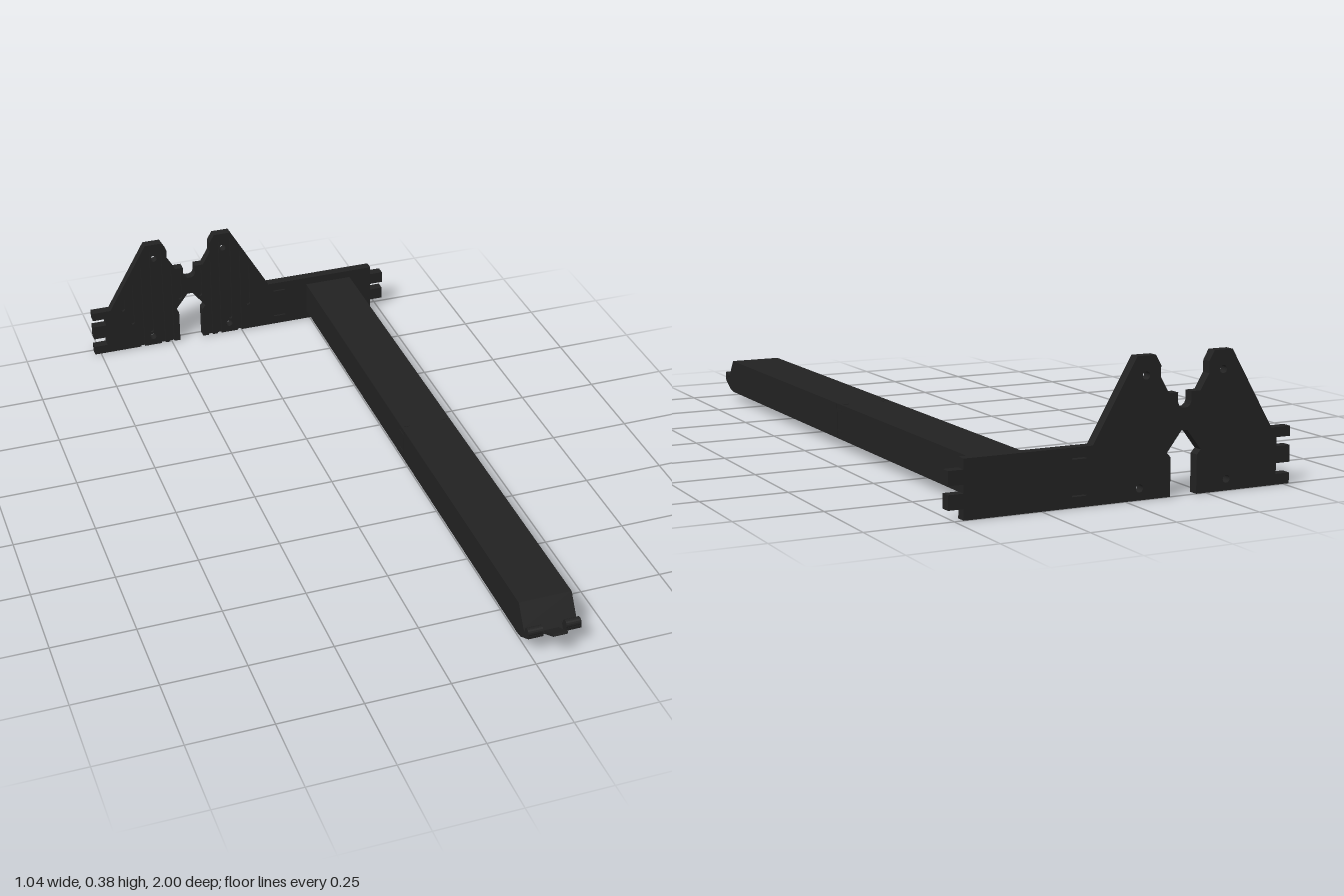
import * as THREE from 'three';

const mat = new THREE.MeshStandardMaterial({ color: 0x222222, flatShading: true });
const MIRROR = -0.358; // x -> MIRROR - x swaps the two peaks
const W = 0.007; // half width of a groove

// Peak grooves: [x, bottom, top]; bottom 0 means open at the lower edge
const half = [
  [-0.384, 0.093, 0.25], [-0.352, 0, 0.31], [-0.319, 0.05, 0.365],
  [-0.279, 0, 0.36], [-0.248, 0, 0.29], [-0.215, 0.16, 0.268],
];
const grooves = [[-0.415, 0.15, 0.197], ...half, ...half.map(([x, a, b]) => [MIRROR - x, a, b]).reverse()];

// Upper profile of the left peak, from shoulder to the middle of the neck
const peak = [
  [-0.458, 0.16], [-0.327, 0.385], [-0.27, 0.385], [-0.254, 0.357], [-0.254, 0.324],
  [-0.228, 0.28], [-0.2, 0.28], [-0.2, 0.254], [-0.196, 0.244], [-0.187, 0.238],
];
// Left half of the slot under the neck
const slot = [[-0.22, 0], [-0.22, 0.107], [-0.232, 0.12], [-0.188, 0.177]];
const mirrored = pts => pts.map(([x, y]) => [MIRROR - x, y]).reverse();

const toPath = (pts, Type) => new Type(pts.map(([x, y]) => new THREE.Vector2(x, y)));

function panelShape(cutGrooves) {
  const notches = cutGrooves
    ? grooves.filter(g => g[1] === 0).map(([x, , t]) =>
      [[x - W, 0], [x - W, t - 0.005], [x - 0.003, t], [x + 0.003, t], [x + W, t - 0.005], [x + W, 0]])
    : [];
  const before = notches.filter(n => n[0][0] < -0.18).flat();
  const after = notches.filter(n => n[0][0] > -0.18).flat();
  const outline = [
    [-0.52, 0], ...before, ...slot, ...mirrored(slot), ...after,
    // right-hand tabs
    [0.474, 0], [0.474, 0.03], [0.518, 0.03], [0.518, 0.07], [0.474, 0.07],
    [0.474, 0.093], [0.518, 0.093], [0.518, 0.132], [0.474, 0.132], [0.474, 0.16],
    // twin peaks, right to left
    ...mirrored(peak).reverse().slice().sort(() => 0), ...peak.slice().reverse(),
    // left-hand tabs
    [-0.52, 0.16], [-0.52, 0.132], [-0.476, 0.132], [-0.476, 0.107], [-0.52, 0.107],
    [-0.52, 0.06], [-0.476, 0.06], [-0.476, 0.03], [-0.52, 0.03],
  ];
  // round bolt holes
  const shape = toPath(outline, THREE.Shape);
  for (const [x, y] of [[-0.299, 0.332], [-0.059, 0.332], [-0.315, 0.032], [-0.043, 0.032]]) {
    const hole = new THREE.Path();
    hole.absarc(x, y, 0.011, 0, Math.PI * 2, true);
    shape.holes.push(hole);
  }
  // narrow slits
  for (const y of [0.031, 0.13])
    shape.holes.push(toPath([[0.118, y - 0.002], [0.118, y + 0.002], [0.16, y + 0.002], [0.16, y - 0.002]], THREE.Path));
  // closed grooves
  if (cutGrooves) for (const [x, a, b] of grooves.filter(g => g[1] > 0))
    shape.holes.push(toPath([
      [x - W, a + 0.005], [x - W, b - 0.005], [x - 0.003, b], [x + 0.003, b],
      [x + W, b - 0.005], [x + W, a + 0.005], [x + 0.003, a], [x - 0.003, a]], THREE.Path));
  return shape;
}

function add(group, name, geometry, x = 0, y = 0, z = 0) {
  const mesh = new THREE.Mesh(geometry, mat);
  mesh.name = name;
  mesh.position.set(x, y, z);
  group.add(mesh);
  return mesh;
}

// Extrude a (z, y) side profile across x0..x1
function sideExtrude(pts, x0, x1) {
  const shape = toPath(pts.map(([z, y]) => [-z, y]), THREE.Shape);
  const g = new THREE.ExtrudeGeometry(shape, { depth: x1 - x0, bevelEnabled: false });
  return g.rotateY(Math.PI / 2).translate(x0, 0, 0);
}

export function createModel() {
  const model = new THREE.Group();
  model.name = 'bracketWithArm';

  // Upright panel: solid back sheet and grooved front sheet
  const panel = new THREE.Group();
  panel.name = 'panel';
  model.add(panel);
  const sheet = (cut, depth) => new THREE.ExtrudeGeometry(panelShape(cut), { depth, bevelEnabled: false, curveSegments: 10 });
  add(panel, 'backSheet', sheet(false, 0.022), 0, 0, -1);
  add(panel, 'groovedSheet', sheet(true, 0.008), 0, 0, -0.978);

  // Long arm with a sloped nose
  const arm = new THREE.Group();
  arm.name = 'arm';
  model.add(arm);
  add(arm, 'beam', sideExtrude([
    [-0.975, 0.03], [0.89, 0.03], [0.915, 0.034], [0.945, 0.052], [0.93, 0.075], [0.89, 0.135], [-0.975, 0.135],
  ], 0.238, 0.397));

  // Nose: two hinge knuckles with lips and a slanted centre tongue
  for (const [x0, x1] of [[0.238, 0.283], [0.352, 0.397]]) {
    add(arm, 'noseLip', sideExtrude([[0.92, 0.037], [0.965, 0.063], [0.965, 0.072], [0.925, 0.072]], x0, x1));
    const knuckle = add(arm, 'hingeKnuckle', new THREE.CylinderGeometry(0.013, 0.013, x1 - x0, 16), (x0 + x1) / 2, 0.077, 0.952);
    knuckle.rotation.z = Math.PI / 2;
  }
  add(arm, 'tongue', sideExtrude([[0.93, 0.042], [1, 0.084], [0.997, 0.091], [0.925, 0.052]], 0.296, 0.34));

  // Mid-arm clips on both sides
  for (const x of [0.238, 0.397]) {
    for (const y of [0.055, 0.118]) add(arm, 'clipEdge', new THREE.BoxGeometry(0.003, 0.003, 0.036), x, y, -0.022);
    add(arm, 'clipSeam', new THREE.BoxGeometry(0.003, 0.1, 0.003), x, 0.083, -0.004);
  }
  for (const x of [0.255, 0.38]) add(arm, 'clipButton', new THREE.BoxGeometry(0.016, 0.003, 0.012), x, 0.135, -0.03);

  return model;
}
